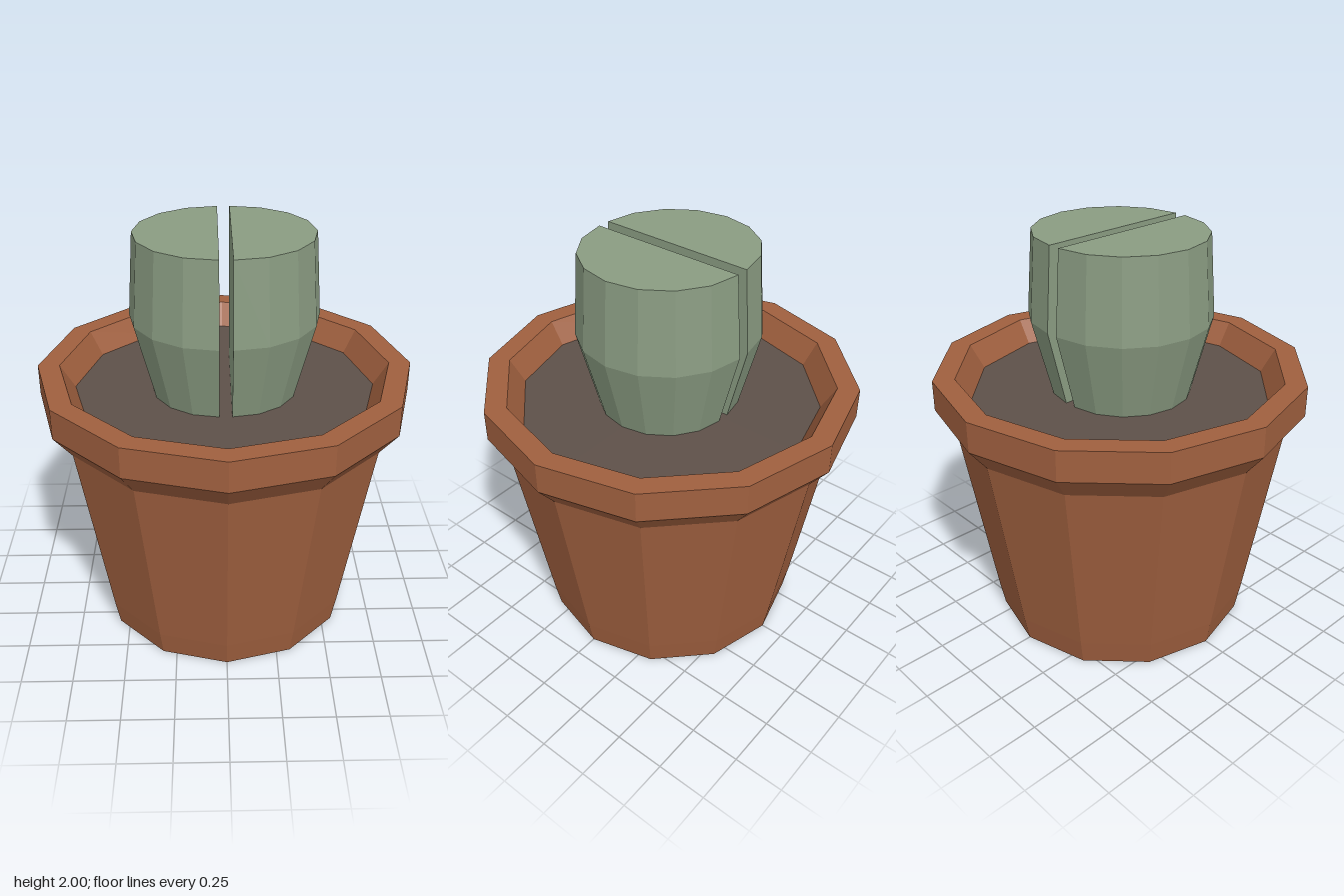
import * as THREE from 'three';

const v = ([r, y]) => new THREE.Vector2(r, y);

// Split the faces so that every facet is shaded flat
function flat(geometry) {
  const g = geometry.toNonIndexed();
  g.computeVertexNormals();
  return g;
}

function addMesh(parent, name, geometry, material) {
  const mesh = new THREE.Mesh(flat(geometry), material);
  mesh.name = name;
  parent.add(mesh);
  return mesh;
}

export function createModel() {
  const model = new THREE.Group();
  model.name = 'pottedPlant';

  const terracotta = new THREE.MeshStandardMaterial({ color: 0xa0603f });
  terracotta.name = 'terracotta';
  const earth = new THREE.MeshStandardMaterial({ color: 0x5e5149 });
  earth.name = 'earth';
  const green = new THREE.MeshStandardMaterial({ color: 0x8a9c82 });
  green.name = 'sage green';

  const soilY = 1.22;

  // Twelve-sided pot: base, tapered wall, flared rim and inner lip
  const potProfile = [
    [0, 0], [0.635, 0], [0.66, 0.13], [0.815, 1.07],
    [0.905, 1.185], [0.905, 1.335], [0.8, 1.335], [0.73, soilY],
  ].map(v);
  addMesh(model, 'pot', new THREE.LatheGeometry(potProfile, 12), terracotta);

  // Soil disc inside the rim
  const soil = new THREE.CircleGeometry(0.733, 12).rotateX(-Math.PI / 2);
  addMesh(model, 'soil', soil, earth).position.y = soilY;

  // Plant: two half bodies separated by a narrow groove
  const bodyProfile = [[0, 1.2], [0.318, 1.2], [0.42, 1.6], [0.392, 2], [0, 2]];
  const section = [
    ...bodyProfile.slice(1, 4),
    ...bodyProfile.slice(1, 4).reverse().map(([r, y]) => [-r, y]),
  ].map(v);

  for (const side of [1, -1]) {
    const half = new THREE.Group();
    half.name = side > 0 ? 'leftPlantHalf' : 'rightPlantHalf';
    half.position.x = side * 0.03;
    half.rotation.y = side > 0 ? 0 : Math.PI;
    addMesh(half, 'outerBody', new THREE.LatheGeometry(bodyProfile.map(v), 8, 0, Math.PI), green);
    const wall = new THREE.ShapeGeometry(new THREE.Shape(section)).rotateY(-Math.PI / 2);
    addMesh(half, 'grooveWall', wall, green);
    model.add(half);
  }

  return model;
}
